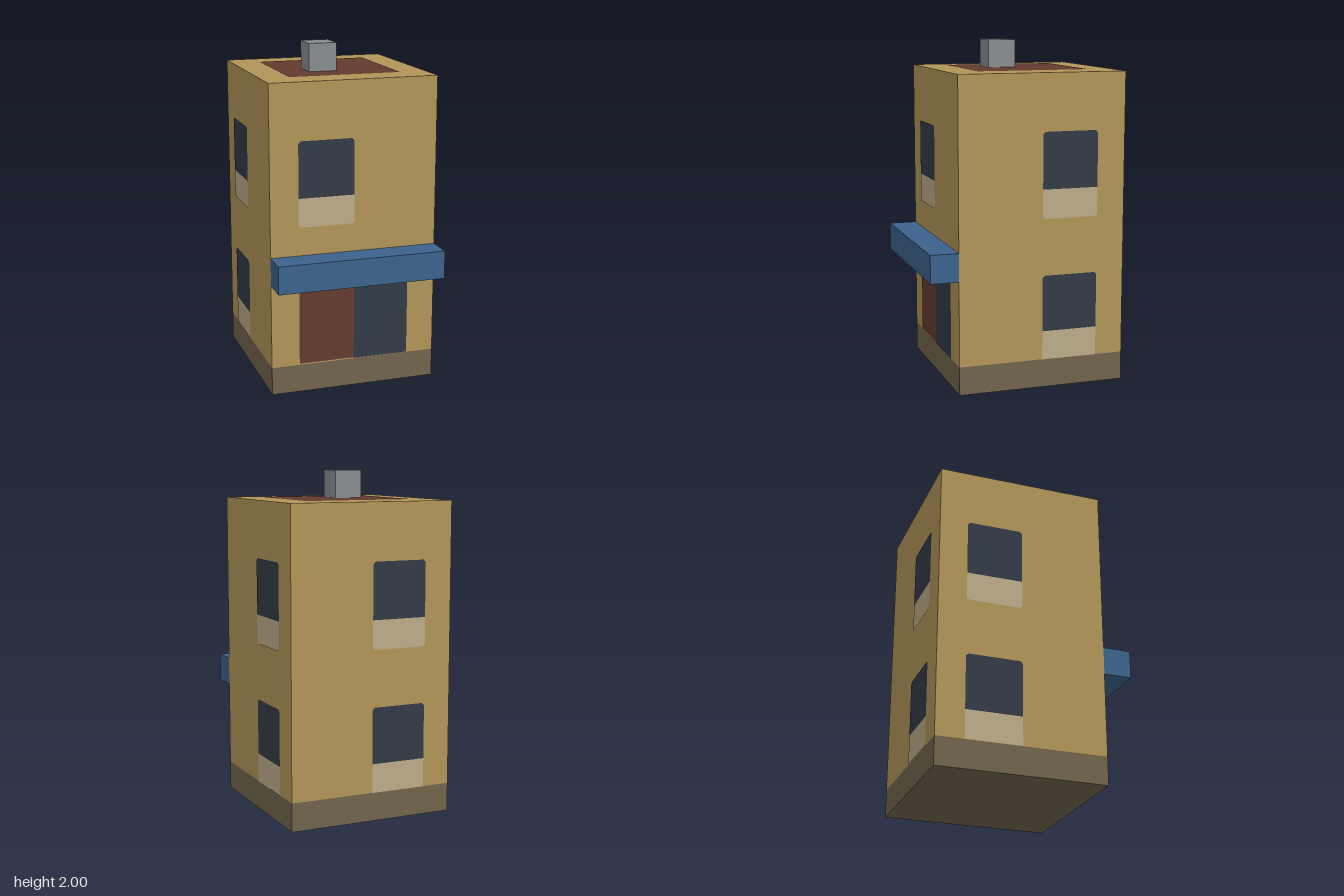
import * as THREE from 'three';

const material = (name, color) => {
  const m = new THREE.MeshStandardMaterial({ color });
  m.name = name;
  return m;
};

export function createModel() {
  const wall = material('ochre wall', 0xb09558);
  const stone = material('brown stone', 0x70644c);
  const rust = material('rust red', 0x633a2e);
  const glass = material('dark glass', 0x343a46);
  const cream = material('cream sill', 0xbbab88);
  const blue = material('awning blue', 0x3b628b);
  const grey = material('chimney grey', 0x898d90);

  const model = new THREE.Group();
  model.name = 'townhouse';

  // Box given by its lower and upper corners
  function box(name, mat, [x0, y0, z0], [x1, y1, z1]) {
    const mesh = new THREE.Mesh(new THREE.BoxGeometry(x1 - x0, y1 - y0, z1 - z0), mat);
    mesh.name = name;
    mesh.position.set((x0 + x1) / 2, (y0 + y1) / 2, (z0 + z1) / 2);
    model.add(mesh);
  }

  // Flat panel with chamfered corners: t at the top, b at the bottom
  function panel(name, mat, x0, y0, x1, y1, t = 0, b = 0) {
    const shape = new THREE.Shape([
      [x0 + b, y0], [x1 - b, y0], [x1, y0 + b], [x1, y1 - t],
      [x1 - t, y1], [x0 + t, y1], [x0, y1 - t], [x0, y0 + b],
    ].map(([x, y]) => new THREE.Vector2(x, y)));
    const mesh = new THREE.Mesh(new THREE.ShapeGeometry(shape), mat);
    mesh.name = name;
    return mesh;
  }

  // Window: dark pane above a cream sill panel
  function window(name, x0, y0, bottomCut) {
    const group = new THREE.Group();
    group.name = name;
    group.add(
      panel('pane', glass, x0, y0 + 0.17, x0 + 0.333, y0 + 0.5, 0.014, 0),
      panel('sill', cream, x0, y0, x0 + 0.333, y0 + 0.17, 0, bottomCut),
    );
    return group;
  }

  // Main volumes
  box('plinth', stone, [-0.5, 0, -0.583], [0.5, 0.167, 0.417]);
  box('walls', wall, [-0.5, 0.167, -0.583], [0.5, 1.833, 0.417]);
  box('awning', blue, [-0.5, 0.667, 0.417], [0.5, 0.833, 0.583]);
  box('chimney', grey, [-0.167, 1.833, -0.083], [0, 2, 0.083]);

  // Roof inset
  const roof = panel('roof', rust, -0.333, -0.25, 0.333, 0.417, 0.01, 0.01);
  roof.rotation.x = -Math.PI / 2;
  roof.position.y = 1.836;
  model.add(roof);

  // Shop front and upper window
  const front = new THREE.Group();
  front.name = 'frontDetails';
  front.position.z = 0.42;
  front.add(
    panel('door', rust, -0.333, 0.175, 0, 0.667),
    panel('shopWindow', glass, 0, 0.17, 0.333, 0.667),
    window('frontWindow', -0.333, 1, 0.014),
  );
  model.add(front);

  // Two storeys of windows on the back and both sides
  const faces = [
    ['back', 0, -0.586, Math.PI, 0],
    ['left', 0.503, 0, Math.PI / 2, 0.083],
    ['right', -0.503, 0, -Math.PI / 2, -0.416],
  ];
  for (const [name, x, z, turn, start] of faces) {
    const face = new THREE.Group();
    face.name = name + 'Details';
    face.position.set(x, 0, z);
    face.rotation.y = turn;
    face.add(
      window(name + 'LowerWindow', start, 0.167, 0),
      window(name + 'UpperWindow', start, 1, 0.014),
    );
    model.add(face);
  }
  return model;
}
